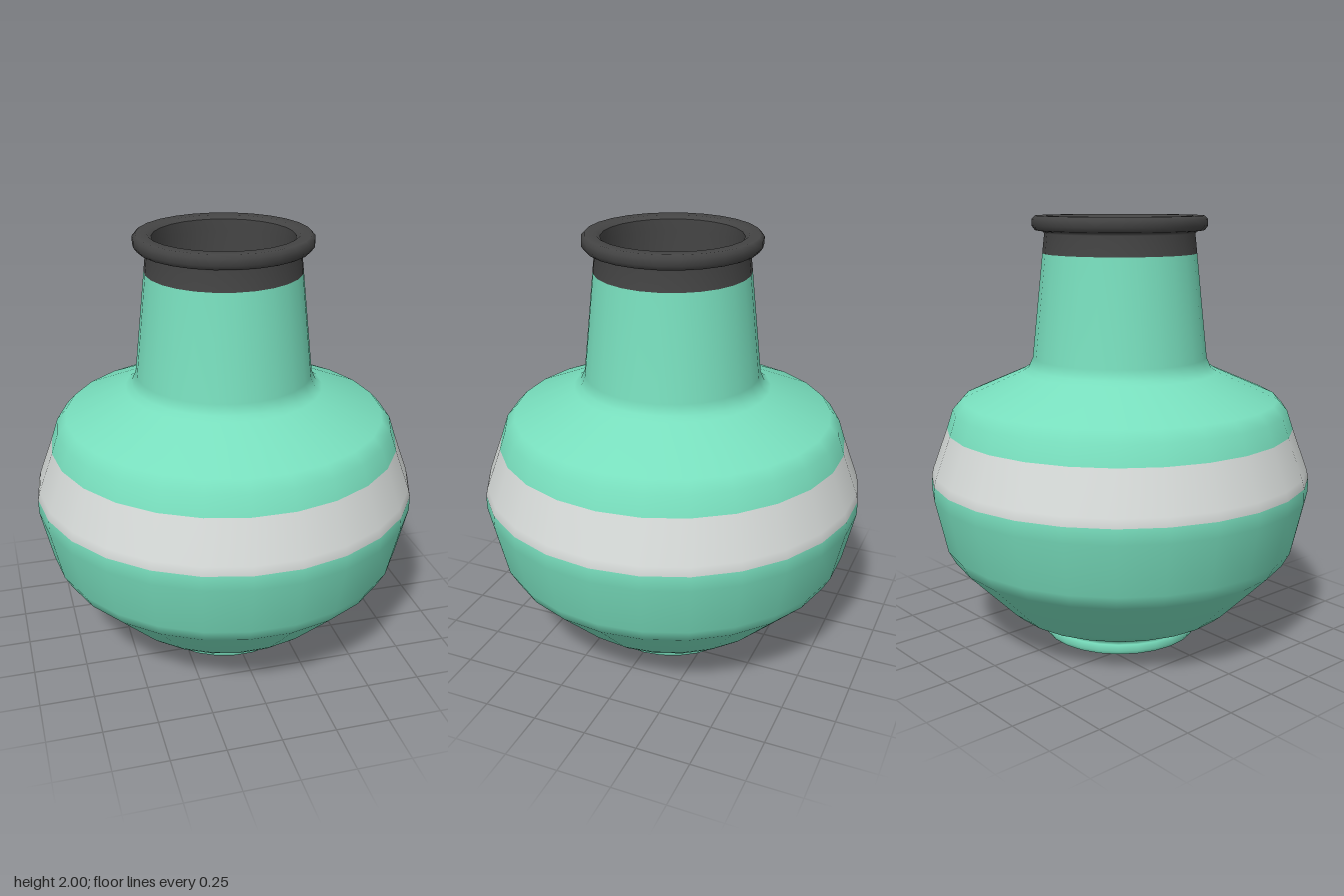
import * as THREE from 'three';

const SIDES = 26;

const mats = {
  glaze: new THREE.MeshStandardMaterial({ color: 0x78debd }),
  band: new THREE.MeshStandardMaterial({ color: 0xd6dad8 }),
  rim: new THREE.MeshStandardMaterial({ color: 0x444444 }),
};
for (const key in mats) mats[key].name = key;

// Outer wall from foot to lip; the colour is that of the strip up to the next point
const wall = [
  [0.37, 0.00, 'glaze'], [0.382, 0.02, 'glaze'], [0.378, 0.05, 'glaze'], [0.365, 0.06, 'glaze'],
  [0.40, 0.075, 'glaze'], [0.54, 0.14, 'glaze'], [0.58, 0.175, 'glaze'], [0.81, 0.41, 'glaze'],
  [0.845, 0.475, 'glaze'], [0.90, 0.72, 'glaze'], [0.90, 0.79, 'band'], [0.89, 0.83, 'band'],
  [0.82, 1.02, 'glaze'], [0.79, 1.11, 'glaze'], [0.745, 1.16, 'glaze'], [0.46, 1.285, 'glaze'],
  [0.43, 1.305, 'glaze'], [0.41, 1.35, 'glaze'], [0.358, 1.83, 'rim'], [0.348, 1.92, 'rim'],
  [0.355, 1.93, 'rim'], [0.39, 1.935, 'rim'], [0.405, 1.955, 'rim'], [0.405, 1.985, 'rim'],
  [0.39, 2.00, 'rim'], [0.34, 2.00, 'rim'], [0.32, 1.985, 'rim'],
];

// Inside of the neck, closed by a shallow dish
const inside = [
  [0.32, 1.985], [0.318, 1.93], [0.315, 1.55], [0.28, 1.46], [0.16, 1.41], [0, 1.40],
];

function lathe(profile) {
  const points = profile.map(([r, y]) => new THREE.Vector2(r, y));
  return new THREE.LatheGeometry(points, SIDES, Math.PI / 2);
}

// Keeps only the strips of one colour, with the normals of the whole wall
function strips(profile, colour) {
  const geometry = lathe(profile);
  const n = profile.length;
  const index = [];
  for (let i = 0; i < SIDES; i++) {
    for (let j = 0; j < n - 1; j++) {
      if (profile[j][2] !== colour) continue;
      const a = i * n + j, b = a + n;
      index.push(a, b, a + 1, b + 1, a + 1, b);
    }
  }
  geometry.setIndex(index);
  return geometry;
}

export function createModel() {
  const model = new THREE.Group();
  model.name = 'vase';
  const add = (name, geometry, material) => {
    const mesh = new THREE.Mesh(geometry, material);
    mesh.name = name;
    model.add(mesh);
  };
  add('body', strips(wall, 'glaze'), mats.glaze);
  add('paleBand', strips(wall, 'band'), mats.band);
  add('lip', strips(wall, 'rim'), mats.rim);
  add('neckInside', lathe(inside), mats.rim);
  add('base', lathe([[0, 0], [0.37, 0]]), mats.glaze);
  return model;
}
